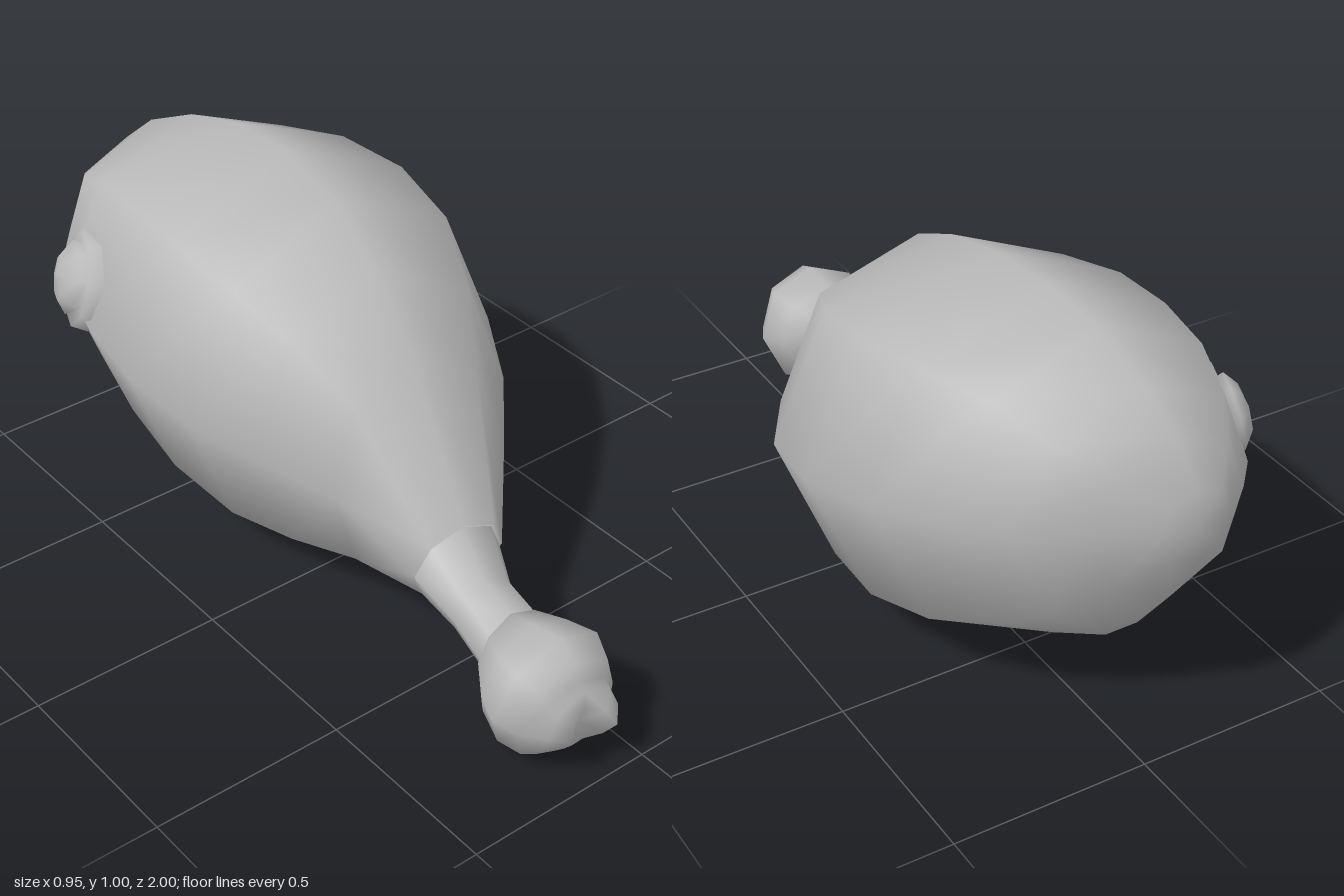
import * as THREE from 'three';
import { mergeVertices } from 'three/addons/utils/BufferGeometryUtils.js';

const SIDES = 8;

// Skin over cross-sections listed back to front.
// Each section: right x,z  left x,z  top y,z  bottom y,z
function loft(sections) {
  const pos = [], index = [];
  for (const [rx, rz, lx, lz, ty, tz, by, bz] of sections) {
    for (let j = 0; j < SIDES; j++) {
      const a = (j / SIDES) * Math.PI * 2, c = Math.cos(a), s = Math.sin(a);
      pos.push(
        (rx + lx) / 2 + (c * (rx - lx)) / 2,
        (ty + by) / 2 + (s * (ty - by)) / 2,
        (c * c * (rz + lz) + s * s * (tz + bz) + c * (rz - lz) + s * (tz - bz)) / 2
      );
    }
  }
  for (let i = 0; i < sections.length - 1; i++) {
    for (let j = 0; j < SIDES; j++) {
      const k = (j + 1) % SIDES;
      const a = i * SIDES + j, b = i * SIDES + k;
      index.push(a, b, a + SIDES, b, b + SIDES, a + SIDES);
    }
  }
  let geo = new THREE.BufferGeometry();
  geo.setAttribute('position', new THREE.Float32BufferAttribute(pos, 3));
  geo.setIndex(index);
  geo = mergeVertices(geo, 1e-4);
  geo.computeVertexNormals();
  return geo;
}

// Section collapsed to a point
const tip = (x, y, z) => [x, z, x, z, y, z, y, z];

export function createModel() {
  const group = new THREE.Group();
  const grey = new THREE.MeshStandardMaterial({ color: 0xb8b8b8, side: THREE.DoubleSide });
  grey.name = 'grey';
  const add = (name, geo) => {
    const mesh = new THREE.Mesh(geo, grey);
    mesh.name = name;
    group.add(mesh);
    return mesh;
  };

  // Plump meat, round at the back and narrowing to the bone
  add('meat', loft([
    tip(-0.1, 0.61, -1),
    [-0.01, -0.985, -0.2, -0.98, 0.71, -0.985, 0.53, -0.998],
    [0.12, -0.91, -0.28, -0.92, 0.82, -0.93, 0.42, -0.95],
    [0.25, -0.8, -0.37, -0.82, 0.9, -0.84, 0.29, -0.86],
    [0.34, -0.68, -0.42, -0.73, 0.975, -0.68, 0.2, -0.77],
    [0.43, -0.5, -0.455, -0.56, 1.01, -0.52, 0.1, -0.6],
    [0.47, -0.28, -0.47, -0.36, 1.005, -0.34, 0.03, -0.4],
    [0.44, -0.07, -0.44, -0.14, 0.955, -0.14, 0.005, -0.18],
    [0.32, 0.13, -0.37, 0.04, 0.86, 0.05, 0.04, 0.03],
    [0.175, 0.3, -0.285, 0.22, 0.72, 0.22, 0.1, 0.22],
    [0.025, 0.47, -0.22, 0.44, 0.39, 0.47, 0.17, 0.42],
  ]));

  // Bare bone between meat and knuckle
  add('shank', loft([
    [0.02, 0.465, -0.218, 0.435, 0.385, 0.465, 0.172, 0.415],
    [-0.045, 0.59, -0.22, 0.58, 0.32, 0.59, 0.17, 0.55],
    [-0.045, 0.72, -0.24, 0.72, 0.285, 0.72, 0.125, 0.69],
  ]));

  // Knuckle with two lobes split by a cleft
  add('knuckle', loft([
    tip(-0.145, 0.21, 0.69),
    [-0.04, 0.69, -0.245, 0.7, 0.295, 0.69, 0.125, 0.66],
    [0.0, 0.76, -0.295, 0.77, 0.32, 0.77, 0.05, 0.7],
    [0.025, 0.83, -0.315, 0.83, 0.335, 0.86, 0.005, 0.78],
    [-0.01, 0.9, -0.295, 0.89, 0.31, 0.92, 0.01, 0.85],
    [-0.035, 0.92, -0.275, 0.91, 0.265, 0.935, 0.045, 0.905],
    [-0.05, 0.96, -0.25, 0.95, 0.245, 0.95, 0.075, 0.93],
    [-0.09, 1.0, -0.21, 0.98, 0.2, 0.955, 0.1, 0.945],
    tip(-0.15, 0.15, 0.935),
  ]));

  // Bone end poking out of the meat, with a collar around it
  const profile = [[0.135, -0.04], [0.125, 0.006], [0.088, 0.0], [0.095, 0.025], [0.06, 0.05], [0, 0.06]]
    .map(([r, h]) => new THREE.Vector2(r, h));
  const boneEnd = add('boneEnd', new THREE.LatheGeometry(profile, SIDES));
  boneEnd.position.set(-0.405, 0.63, -0.68);
  boneEnd.quaternion.setFromUnitVectors(
    new THREE.Vector3(0, 1, 0), new THREE.Vector3(-0.87, 0.26, -0.36).normalize());

  return group;
}
